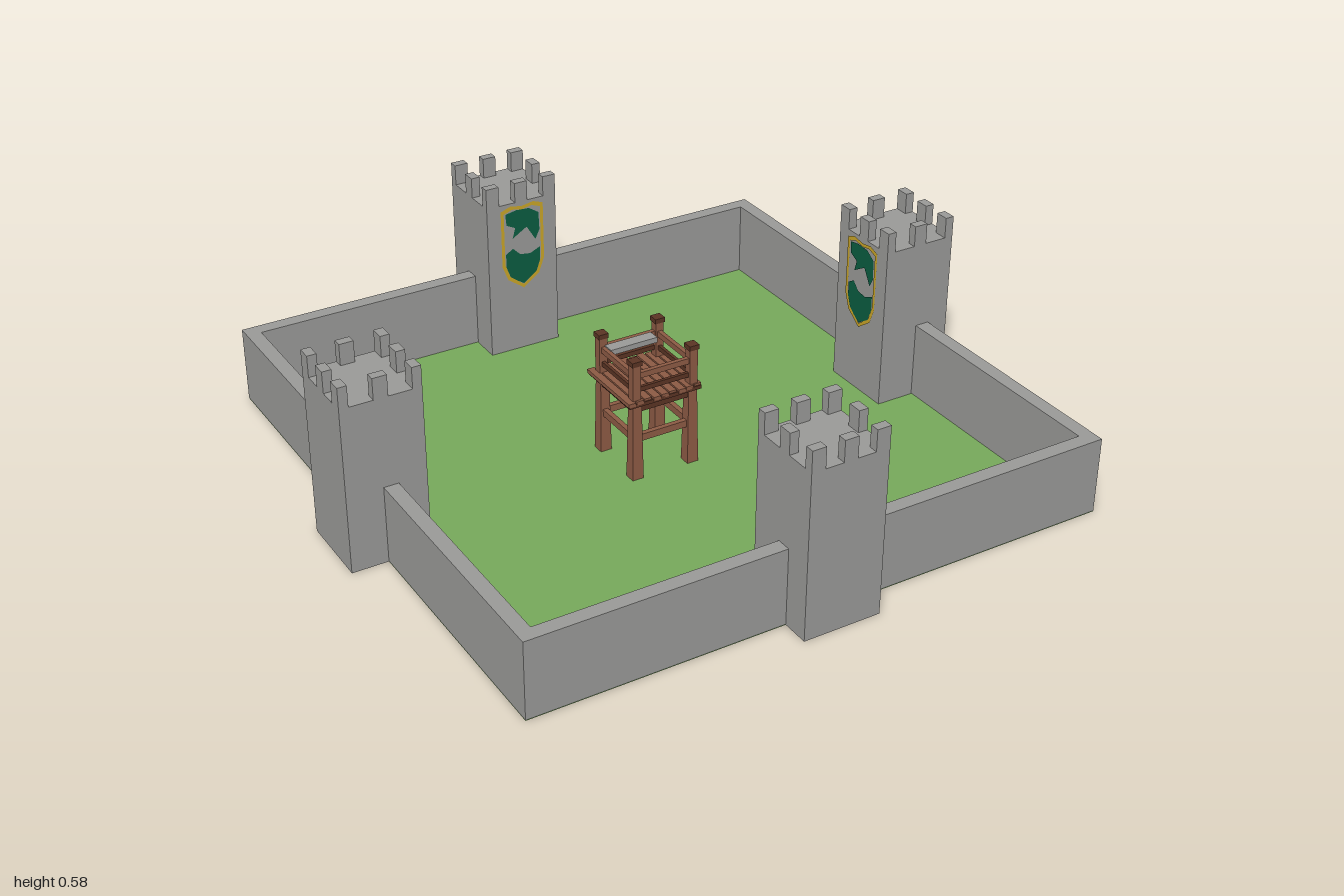
import * as THREE from 'three';

const mat = (name, color, side = THREE.FrontSide) => {
  const m = new THREE.MeshStandardMaterial({ color, side });
  m.name = name;
  return m;
};

export function createModel() {
  const stone = mat('stone', 0x999997);
  const shell = mat('towerStone', 0x999997, THREE.DoubleSide);
  const grass = mat('grass', 0x76a85a, THREE.DoubleSide);
  const wood = mat('wood', 0x8c5a44);
  const darkWood = mat('darkWood', 0x5a3424);
  const gold = mat('gold', 0xc8a428, THREE.DoubleSide);
  const green = mat('bannerGreen', 0x0a5c40, THREE.DoubleSide);

  const model = new THREE.Group();
  model.name = 'castleYard';

  const add = (parent, name, geo, material, x = 0, y = 0, z = 0) => {
    const m = new THREE.Mesh(geo, material);
    m.name = name;
    m.position.set(x, y, z);
    parent.add(m);
    return m;
  };
  // Box given by its lower and upper corners
  const box = (parent, name, material, x0, x1, y0, y1, z0, z1) =>
    add(parent, name, new THREE.BoxGeometry(x1 - x0, y1 - y0, z1 - z0), material,
      (x0 + x1) / 2, (y0 + y1) / 2, (z0 + z1) / 2);

  // Lawn
  const [L, R, B, F, T, H] = [-0.89, 0.93, -0.905, 0.915, 0.045, 0.24];
  add(model, 'lawn', new THREE.PlaneGeometry(R - L, F - B).rotateX(-Math.PI / 2), grass,
    (L + R) / 2, 0, (B + F) / 2);

  // Curtain walls
  box(model, 'leftWall', stone, R - T, R, 0.002, H, B, F);
  box(model, 'rightWall', stone, L, L + T, 0.002, H, B, F);
  box(model, 'backWall', stone, L + T, R - T, 0.002, H, B, B + T);
  box(model, 'frontWall', stone, L + T, R - T, 0.002, H, F - T, F);

  // Shield outline, scaled about its centre
  const shieldPoints = (s) => [[-0.074, 0.13], [-0.04, 0.142], [0, 0.135], [0.04, 0.142], [0.074, 0.13],
    [0.074, -0.06], [0.055, -0.11], [0, -0.15], [-0.055, -0.11], [-0.074, -0.06]]
    .map(([x, y]) => new THREE.Vector2(x * s, y * (1 - (1 - s) * 0.6)));
  const border = new THREE.Shape(shieldPoints(1));
  border.holes.push(new THREE.Path(shieldPoints(0.86)));
  const patch = (pts) => new THREE.Shape(pts.map(([x, y]) => new THREE.Vector2(x, y)));
  const upperPatch = patch([[-0.058, 0.118], [-0.02, 0.125], [0.025, 0.122], [0.058, 0.1], [0.06, 0.04],
    [0.045, 0.01], [0.03, 0.035], [0.015, 0.06], [-0.01, 0.045], [-0.035, 0.03], [-0.025, 0.065], [-0.055, 0.08]]);
  const lowerPatch = patch([[-0.06, -0.02], [-0.035, -0.005], [-0.01, -0.03], [0.025, -0.035], [0.06, -0.02],
    [0.06, -0.065], [0.045, -0.105], [0, -0.135], [-0.045, -0.105], [-0.06, -0.065]]);

  // Four towers, each with its banner facing the yard
  const half = 0.12, top = 0.515, crest = 0.58;
  const sides = new THREE.CylinderGeometry(half * Math.SQRT2, half * Math.SQRT2, top, 4, 1, true)
    .rotateY(Math.PI / 4).toNonIndexed();
  sides.computeVertexNormals();
  ['backTower', 'rightTower', 'frontTower', 'leftTower'].forEach((name, i) => {
    const spoke = new THREE.Group();
    spoke.name = name;
    spoke.rotation.y = i * Math.PI / 2;
    model.add(spoke);
    const tower = new THREE.Group();
    tower.name = 'towerBody';
    tower.position.z = -0.88;
    spoke.add(tower);

    add(tower, 'towerSides', sides, shell, 0, top / 2, 0);
    add(tower, 'towerRoof', new THREE.PlaneGeometry(half * 2, half * 2).rotateX(-Math.PI / 2), shell, 0, top, 0);

    // Merlons
    for (const s of [-1, 1]) {
      for (const x of [-0.0985, 0, 0.0985])
        add(tower, 'merlon', new THREE.BoxGeometry(0.043, crest - top, 0.028), stone,
          x, (top + crest) / 2, s * 0.106);
      add(tower, 'merlon', new THREE.BoxGeometry(0.028, crest - top, 0.043), stone,
        s * 0.106, (top + crest) / 2, 0);
    }

    // Banner
    add(tower, 'bannerBorder', new THREE.ShapeGeometry(border), gold, 0, 0.365, half + 0.003);
    add(tower, 'bannerUpper', new THREE.ShapeGeometry(upperPatch), green, 0, 0.365, half + 0.003);
    add(tower, 'bannerLower', new THREE.ShapeGeometry(lowerPatch), green, 0, 0.365, half + 0.003);
  });

  // Wooden lookout in the middle
  const lookout = new THREE.Group();
  lookout.name = 'lookout';
  model.add(lookout);

  // Legs, slightly wider at the foot, and upper posts with caps
  const leg = new THREE.CylinderGeometry(0.02, 0.026, 0.25, 4).rotateY(Math.PI / 4).toNonIndexed();
  leg.computeVertexNormals();
  for (const x of [-1, 1]) for (const z of [-1, 1]) {
    add(lookout, 'leg', leg, wood, x * 0.093, 0.125, z * 0.093);
    box(lookout, 'post', wood, x * 0.095 - 0.013, x * 0.095 + 0.013, 0.26, 0.385, z * 0.095 - 0.013, z * 0.095 + 0.013);
    box(lookout, 'postCap', darkWood, x * 0.095 - 0.016, x * 0.095 + 0.016, 0.375, 0.39, z * 0.095 - 0.016, z * 0.095 + 0.016);
  }

  // Deck of planks over a dark base
  box(lookout, 'deckBase', darkWood, -0.122, 0.118, 0.245, 0.257, -0.12, 0.115);
  for (let i = 0; i < 9; i++) {
    const x = -0.127 + i * 0.0277;
    box(lookout, 'plank', wood, x, x + 0.023, 0.252, 0.264, -0.123 + (i % 2) * 0.004, 0.118 - (i % 3) * 0.003);
  }

  // Braces between the legs and railings between the posts
  for (let i = 0; i < 4; i++) {
    const side = new THREE.Group();
    side.name = 'lookoutSide';
    side.rotation.y = i * Math.PI / 2;
    lookout.add(side);
    box(side, 'legRail', wood, -0.085, 0.085, 0.12, 0.142, 0.085, 0.101);
    box(side, 'deckBeam', darkWood, -0.1, 0.1, 0.222, 0.246, 0.085, 0.104);
    box(side, 'topRail', wood, -0.085, 0.085, 0.33, 0.348, 0.088, 0.102);
    box(side, 'lowRail', darkWood, -0.085, 0.085, 0.285, 0.3, 0.09, 0.1);
  }

  // Stone slab carried behind the railing
  box(lookout, 'slab', stone, -0.09, 0.065, 0.335, 0.352, -0.084, -0.046);

  return model;
}
